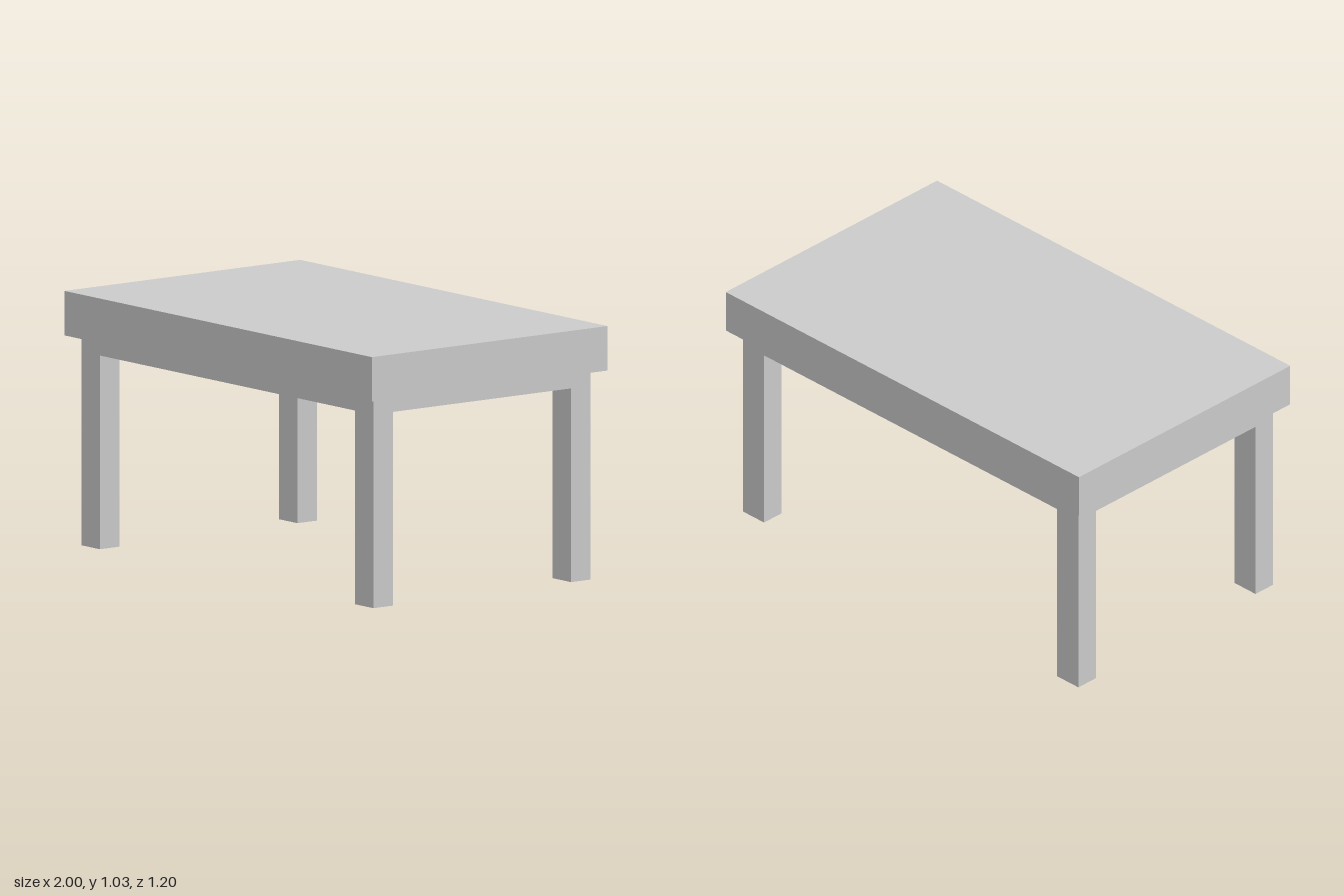
import * as THREE from 'three';

export function createModel() {
  const group = new THREE.Group();
  const material = new THREE.MeshStandardMaterial({ color: 0xcccccc, flatShading: true });

  // Box spanning y0..y1, centred on (x, z)
  const addBox = (name, width, depth, y0, y1, x = 0, z = 0) => {
    const mesh = new THREE.Mesh(new THREE.BoxGeometry(width, y1 - y0, depth), material);
    mesh.name = name;
    mesh.position.set(x, (y0 + y1) / 2, z);
    group.add(mesh);
  };

  const topY = 1.033, topBottom = 0.852, apronBottom = 0.788;
  const apronWidth = 1.9, apronDepth = 1.106;
  const legWidth = 0.12, legDepth = 0.1;

  // Thick top with a solid, inset apron beneath
  addBox('tableTop', 2, 1.2, topBottom, topY);
  addBox('apron', apronWidth, apronDepth, apronBottom, topBottom);

  // Legs flush with the apron corners
  for (const [side, sx] of [['Left', 1], ['Right', -1]]) {
    for (const [end, sz] of [['front', 1], ['back', -1]]) {
      addBox(`${end}${side}Leg`, legWidth, legDepth, 0, apronBottom,
        sx * (apronWidth - legWidth) / 2, sz * (apronDepth - legDepth) / 2);
    }
  }
  return group;
}
